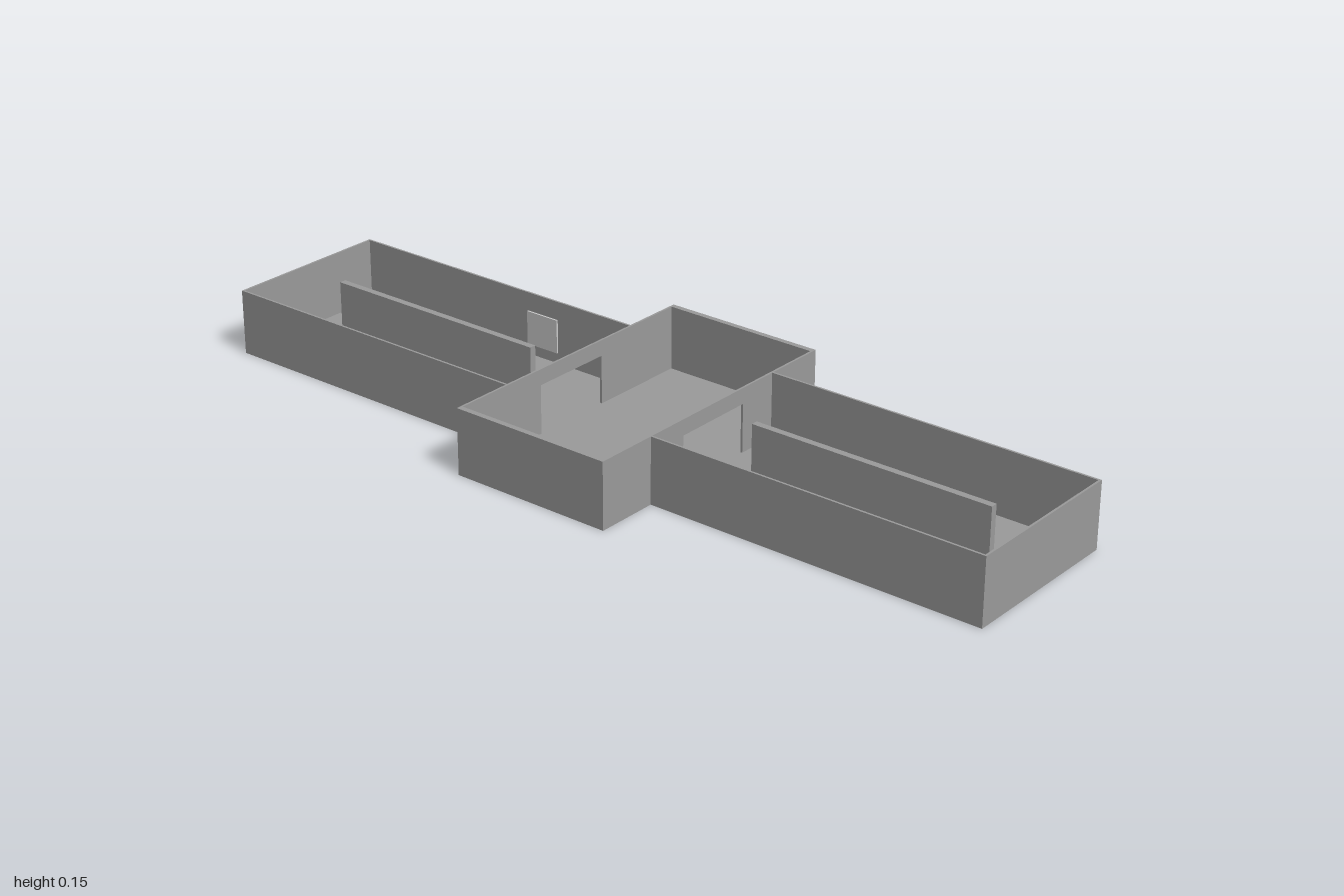
import * as THREE from 'three';

const H = 0.154;                 // wall height
const ROOM = { x: 0.197, z: 0.355 };
const WING = { x: 1, z: 0.205 };
const FLOOR = 0.003, THIN = 0.005, THICK = 0.013;

export function createModel() {
  const model = new THREE.Group();
  model.name = 'floorPlan';
  const wallGrey = new THREE.MeshStandardMaterial({ color: 0x9b9b9b, flatShading: true });
  const pictureGrey = new THREE.MeshStandardMaterial({ color: 0xcccccc, flatShading: true });

  const add = (parent, name, geometry, material = wallGrey) => {
    const mesh = new THREE.Mesh(geometry, material);
    mesh.name = name;
    parent.add(mesh);
    return mesh;
  };

  // Box given by its limits on each axis
  const block = (parent, name, x0, x1, y0, y1, z0, z1, material) => {
    const mesh = add(parent, name, new THREE.BoxGeometry(Math.abs(x1 - x0), y1 - y0, z1 - z0), material);
    mesh.position.set((x0 + x1) / 2, (y0 + y1) / 2, (z0 + z1) / 2);
  };

  // Wall with a doorway cut up from the floor, lying in the z-y plane
  const doorWall = (halfLength, doorHalf, doorHeight) => {
    const shape = new THREE.Shape([
      [-halfLength, 0], [-doorHalf, 0], [-doorHalf, doorHeight], [doorHalf, doorHeight],
      [doorHalf, 0], [halfLength, 0], [halfLength, H], [-halfLength, H],
    ].map(([a, b]) => new THREE.Vector2(a, b)));
    return new THREE.ExtrudeGeometry(shape, { depth: THIN, bevelEnabled: false })
      .translate(0, 0, -THIN / 2).rotateY(Math.PI / 2);
  };

  // Central room
  const room = new THREE.Group();
  room.name = 'centralRoom';
  model.add(room);
  block(room, 'roomFloor', -ROOM.x, ROOM.x, 0, FLOOR, -ROOM.z, ROOM.z);
  block(room, 'roomFrontWall', -ROOM.x, ROOM.x, 0, H, ROOM.z - THICK, ROOM.z);
  block(room, 'roomBackWall', -ROOM.x, ROOM.x, 0, H, -ROOM.z, -ROOM.z + THICK);

  for (const [side, s] of [['left', 1], ['right', -1]]) {
    const wall = add(room, side + 'DoorwayWall', doorWall(ROOM.z - THICK, 0.1, 0.117));
    wall.position.x = s * (ROOM.x - THIN / 2);

    // Side wing with a free-standing divider
    const wing = new THREE.Group();
    wing.name = side + 'Wing';
    model.add(wing);
    const inner = s * ROOM.x, outer = s * WING.x;
    block(wing, side + 'WingFloor', inner, outer, 0, FLOOR, -WING.z, WING.z);
    block(wing, side + 'FrontWall', inner, outer, 0, H, WING.z - THIN, WING.z);
    block(wing, side + 'BackWall', inner, outer, 0, H, -WING.z, -WING.z + THIN);
    block(wing, side + 'EndWall', outer - s * THIN, outer, 0, H, -WING.z + THIN, WING.z - THIN);
    block(wing, side + 'Divider', s * 0.303, s * 0.885, 0, 0.142, -0.008, 0.008);
  }

  // Two thin, paler pictures facing each other in the right wing
  block(model, 'backPicture', -0.466, -0.378, 0.048, 0.128, -0.168, -0.164, pictureGrey);
  block(model, 'dividerPicture', -0.466, -0.378, 0.048, 0.128, -0.014, -0.01, pictureGrey);
  return model;
}
